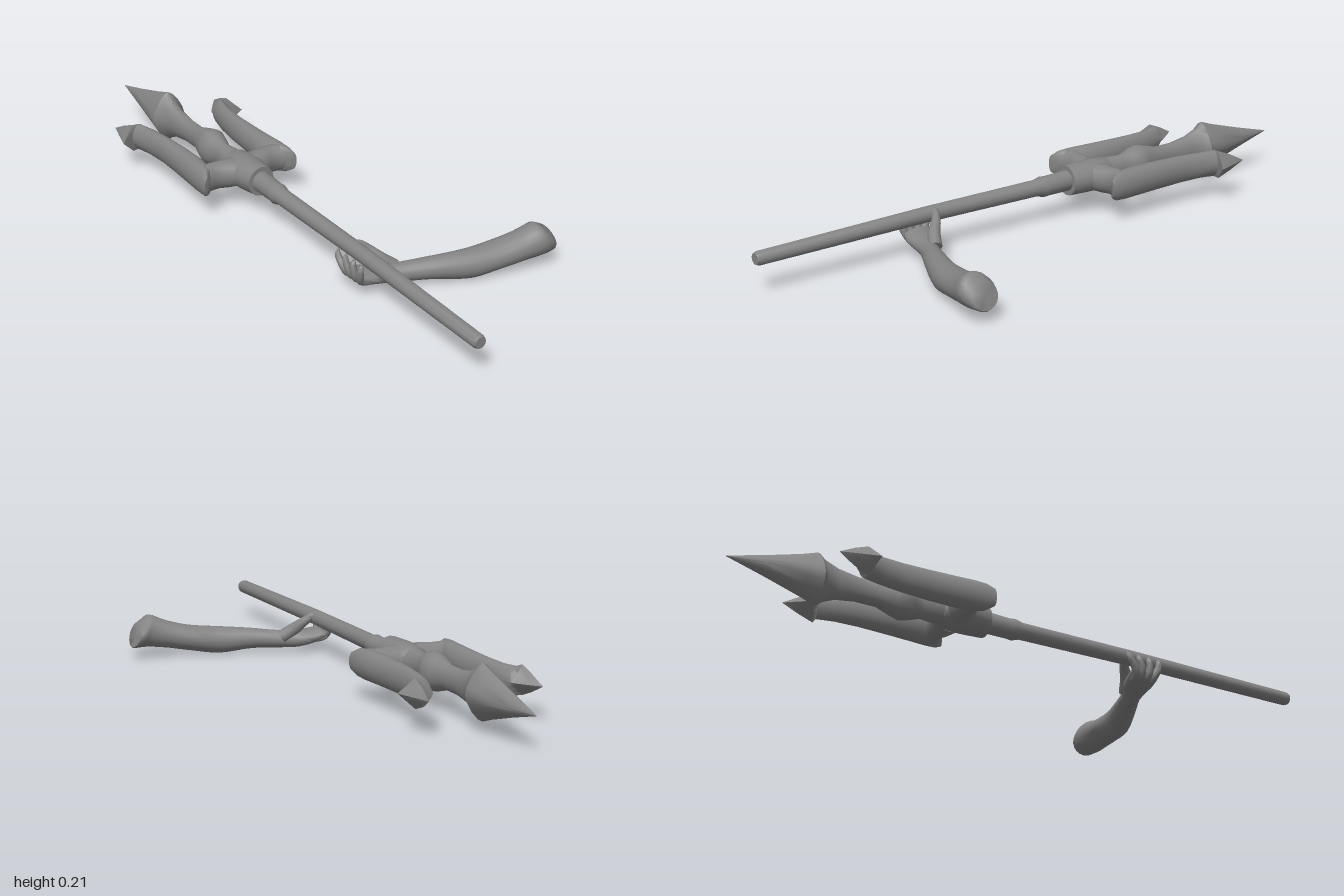
import * as THREE from 'three';
import { toCreasedNormals } from 'three/addons/utils/BufferGeometryUtils.js';

const V = (x, y, z) => new THREE.Vector3(x, y, z);
const material = new THREE.MeshStandardMaterial({ color: 0x848484 });
const power = (t, p) => Math.sign(t) * Math.abs(t) ** p;

// Skin over sections { c: centre, u, v: half axes, p: 1 oval to 2 diamond }, closed at both ends.
function loft(name, sections, sides = 16, crease = 0.8) {
  const pos = [], index = [], n = sections.length;
  for (const { c, u, v, p = 1 } of sections) {
    for (let i = 0; i < sides; i++) {
      const a = (i / sides) * Math.PI * 2;
      const q = c.clone().addScaledVector(u, power(Math.cos(a), p)).addScaledVector(v, power(Math.sin(a), p));
      pos.push(q.x, q.y, q.z);
    }
  }
  const first = sections[0].c, last = sections[n - 1].c;
  pos.push(first.x, first.y, first.z, last.x, last.y, last.z);
  const mid = sections[n >> 1];
  const flip = mid.u.clone().cross(mid.v).dot(last.clone().sub(first)) < 0;
  const tri = (a, b, c) => (flip ? index.push(a, c, b) : index.push(a, b, c));
  for (let i = 0; i < sides; i++) {
    const j = (i + 1) % sides, top = (n - 1) * sides;
    for (let k = 0; k < n - 1; k++) {
      const a = k * sides + i, b = k * sides + j;
      tri(a, b, b + sides);
      tri(a, b + sides, a + sides);
    }
    tri(n * sides, j, i);
    tri(n * sides + 1, top + i, top + j);
  }
  const g = new THREE.BufferGeometry();
  g.setAttribute('position', new THREE.Float32BufferAttribute(pos, 3));
  g.setIndex(index);
  const mesh = new THREE.Mesh(toCreasedNormals(g, crease), material);
  mesh.name = name;
  return mesh;
}

// Round tube along a curve, its radius following a list.
function taperedTube(name, points, radii) {
  const curve = new THREE.CatmullRomCurve3(points.map((p) => V(...p)));
  const steps = 14, frames = curve.computeFrenetFrames(steps);
  const sections = frames.normals.map((nrm, k) => {
    const t = (k / steps) * (radii.length - 1), i = Math.min(Math.floor(t), radii.length - 2);
    const r = THREE.MathUtils.lerp(radii[i], radii[i + 1], t - i);
    return { c: curve.getPoint(k / steps), u: nrm.clone().multiplyScalar(r), v: frames.binormals[k].clone().multiplyScalar(r) };
  });
  return loft(name, sections, 10, 1.2);
}

// Sections along x: [x, half width, half height, p]
const alongX = (rows) => rows.map(([x, w, h, p]) => ({ c: V(x, 0, 0), u: V(0, 0, w), v: V(0, h, 0), p }));

function tridentHead() {
  const head = new THREE.Group();
  head.name = 'tridentHead';

  // Middle prong with a bulge and a broad spear point
  head.add(loft('middleProng', alongX([
    [-0.2, 0.05, 0.045], [-0.3, 0.042, 0.045], [-0.36, 0.027, 0.042], [-0.4, 0.042, 0.055],
    [-0.43, 0.051, 0.062], [-0.46, 0.042, 0.055], [-0.51, 0.026, 0.04], [-0.58, 0.026, 0.04],
    [-0.645, 0.03, 0.05], [-0.69, 0.038, 0.07, 1.2], [-0.71, 0.06, 0.088, 1.4], [-0.76, 0.05, 0.07, 1.4],
    [-0.88, 0.026, 0.034, 1.4], [-1, 0.001, 0.001],
  ])));

  // Hub where the prongs meet the shaft
  head.add(loft('hub', alongX([
    [-0.31, 0.03, 0.04], [-0.29, 0.055, 0.048], [-0.24, 0.064, 0.051], [-0.2, 0.06, 0.051], [-0.14, 0.046, 0.05],
  ])));

  // Barbed prong: [outer x, outer z, inner x, inner z, half height, p]
  const prong = [
    [-0.198, 0.172, -0.205, 0.15, 0.03], [-0.22, 0.174, -0.235, 0.12, 0.045],
    [-0.26, 0.175, -0.27, 0.105, 0.049], [-0.32, 0.172, -0.32, 0.098, 0.049],
    [-0.4, 0.167, -0.4, 0.1, 0.048], [-0.5, 0.163, -0.5, 0.108, 0.046],
    [-0.57, 0.169, -0.58, 0.118, 0.044], [-0.628, 0.185, -0.64, 0.13, 0.045, 1.2],
    [-0.612, 0.227, -0.655, 0.133, 0.047, 2], [-0.67, 0.21, -0.69, 0.158, 0.028, 2], [-0.73, 0.191, -0.73, 0.19, 0.001],
  ];
  // Cross arm: [z, centre x, half width, half height]
  const arm = [
    [0.03, -0.245, 0.053, 0.046], [0.065, -0.25, 0.045, 0.046], [0.09, -0.256, 0.036, 0.045],
    [0.12, -0.257, 0.034, 0.046], [0.14, -0.25, 0.037, 0.046], [0.16, -0.24, 0.03, 0.04],
  ];
  for (const s of [1, -1]) {
    const side = s > 0 ? 'front' : 'back';
    head.add(loft(side + 'Prong', prong.map(([ox, oz, ix, iz, h, p]) => ({
      c: V((ox + ix) / 2, 0, (s * (oz + iz)) / 2),
      u: V((ox - ix) / 2, 0, (s * (oz - iz)) / 2),
      v: V(0, h, 0),
      p,
    }))));
    head.add(loft(side + 'CrossArm', arm.map(([z, x, w, h]) => ({ c: V(x, 0, s * z), u: V(w, 0, 0), v: V(0, h, 0) }))));
  }
  head.position.set(0, 0.119, 0.174);
  head.rotation.y = -0.019;
  return head;
}

function armAndHand() {
  const group = new THREE.Group();
  group.name = 'armAndHand';

  // Forearm and palm: [x, y, z, half width, half height, slant of the section]
  const rows = [
    [0.595, 0.086, -0.361, 0.053, 0.05, 0.027], [0.6, 0.088, -0.335, 0.054, 0.053, 0.012],
    [0.585, 0.073, -0.27, 0.052, 0.046, 0], [0.565, 0.058, -0.2, 0.053, 0.043, 0],
    [0.542, 0.046, -0.11, 0.048, 0.045, 0], [0.5, 0.048, 0, 0.039, 0.034, 0],
    [0.458, 0.044, 0.09, 0.033, 0.029, 0], [0.435, 0.046, 0.14, 0.043, 0.028, 0],
    [0.427, 0.053, 0.185, 0.05, 0.023, -0.005], [0.42, 0.063, 0.215, 0.048, 0.016, -0.01],
  ];
  const centre = new THREE.CatmullRomCurve3(rows.map((r) => V(r[0], r[1], r[2])));
  const size = new THREE.CatmullRomCurve3(rows.map((r) => V(r[3], r[4], r[5])));
  const sections = [{ c: V(0.593, 0.08, -0.377), u: V(0.046, 0, 0), v: V(0, 0.041, 0.014) }];
  for (let k = 0; k <= 36; k++) {
    const s = size.getPoint(k / 36);
    sections.push({ c: centre.getPoint(k / 36), u: V(s.x, 0, 0), v: V(0, s.y, s.z) });
  }
  group.add(loft('forearm', sections, 20, 1));

  // Fingers curl up in front of the shaft, the thumb goes over from behind
  [0.395, 0.415, 0.438, 0.458].forEach((base, i) => {
    const tip = 0.352 + i * 0.039, m = (base + tip) / 2;
    group.add(taperedTube('finger' + (i + 1),
      [[base, 0.05, 0.185], [base - 0.005, 0.054, 0.217], [m, 0.08, 0.229], [tip, 0.108, 0.23], [tip, 0.12, 0.224]],
      [0.015, 0.014, 0.012, 0.009, 0.002]));
  });
  group.add(taperedTube('thumb',
    [[0.44, 0.055, 0.085], [0.42, 0.082, 0.12], [0.392, 0.113, 0.148], [0.378, 0.135, 0.174], [0.372, 0.139, 0.193]],
    [0.022, 0.021, 0.015, 0.011, 0.003]));
  return group;
}

export function createModel() {
  const model = new THREE.Group();
  model.name = 'tridentWithArm';

  // Shaft with a thicker socket near the head: [x, y, z, radius]
  const shaft = [
    [-0.15, 0.12, 0.171, 0.034], [-0.06, 0.118, 0.174, 0.032], [-0.04, 0.118, 0.175, 0.034], [-0.015, 0.119, 0.176, 0.027],
    [0.4, 0.121, 0.189, 0.025], [0.99, 0.113, 0.209, 0.022], [1, 0.113, 0.209, 0.018],
  ];
  model.add(loft('shaft', shaft.map(([x, y, z, r]) => ({ c: V(x, y, z), u: V(0, 0, r), v: V(0, r, 0) }))));
  model.add(tridentHead(), armAndHand());
  return model;
}
